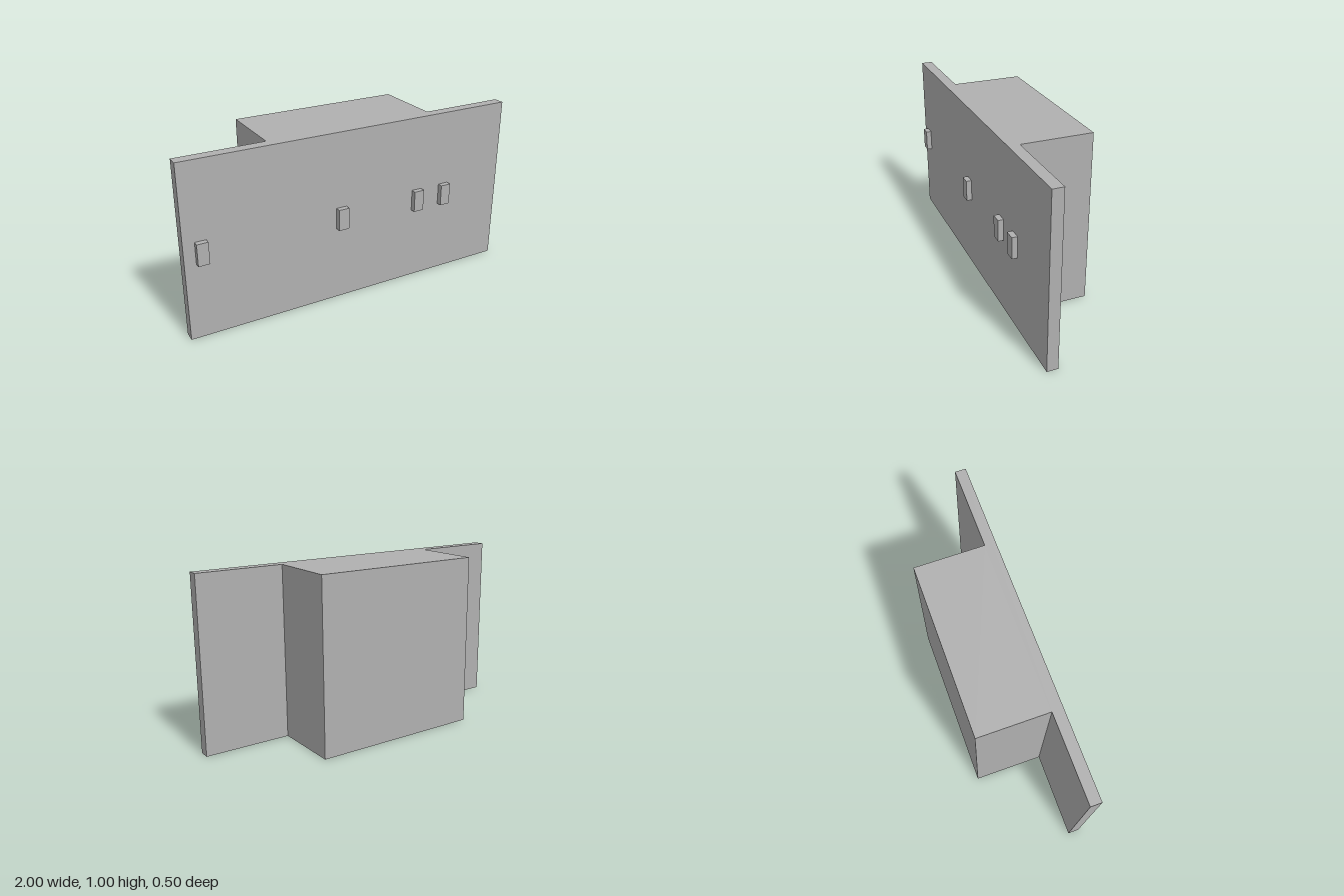
import * as THREE from 'three';

export function createModel() {
  const model = new THREE.Group();
  const grey = new THREE.MeshStandardMaterial({ color: 0xb0b0b0 });
  grey.name = 'grey';

  // Wide front panel with the deep housing behind it, one T-shaped plan
  const front = 0.219, panelBack = 0.156, back = -0.25;
  const plan = new THREE.Shape([
    [-1, front], [-1, panelBack], [-0.5, panelBack], [-0.5, back],
    [0.5, back], [0.5, panelBack], [1, panelBack], [1, front],
  ].map(([x, z]) => new THREE.Vector2(x, -z)));
  const bodyGeometry = new THREE.ExtrudeGeometry(plan, { depth: 1, bevelEnabled: false });
  bodyGeometry.rotateX(-Math.PI / 2);
  const body = new THREE.Mesh(bodyGeometry, grey);
  body.name = 'panelAndHousing';
  model.add(body);

  // Small upright handles on the front face
  const handleDepth = 0.25 - front;
  const handleGeometry = new THREE.BoxGeometry(0.0625, 0.125, handleDepth);
  [-0.906, -0.094, 0.406, 0.594].forEach((x, i) => {
    const handle = new THREE.Mesh(handleGeometry, grey);
    handle.name = `handle${i + 1}`;
    handle.position.set(x, 0.5, front + handleDepth / 2);
    model.add(handle);
  });

  return model;
}
